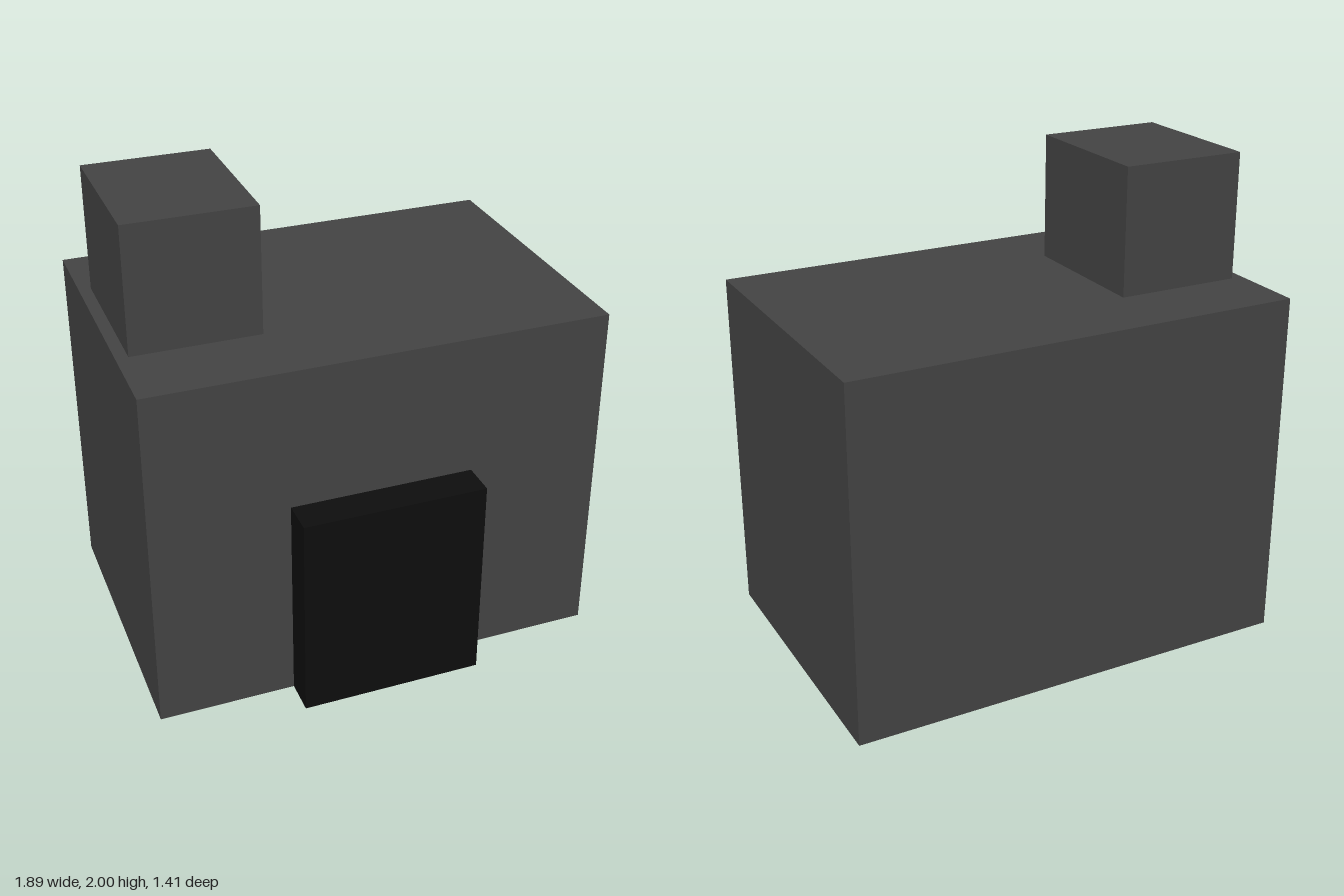
import * as THREE from 'three';

// Box spanning the given bounds, with its underside left open
function openBox(name, material, [x0, x1], [y0, y1], [z0, z1]) {
  const geometry = new THREE.BoxGeometry(x1 - x0, y1 - y0, z1 - z0);
  const index = Array.from(geometry.index.array);
  index.splice(18, 6); // remove the bottom face
  geometry.setIndex(index);
  geometry.clearGroups();
  const mesh = new THREE.Mesh(geometry, material);
  mesh.name = name;
  mesh.position.set((x0 + x1) / 2, (y0 + y1) / 2, (z0 + z1) / 2);
  return mesh;
}

export function createModel() {
  const group = new THREE.Group();
  group.name = 'house';

  const wall = new THREE.MeshStandardMaterial({ color: 0x444444, side: THREE.DoubleSide });
  wall.name = 'dark grey';
  const black = new THREE.MeshStandardMaterial({ color: 0x0e0e0e, side: THREE.DoubleSide });
  black.name = 'near black';

  group.add(
    // Main block, hollow and open underneath
    openBox('body', wall, [-0.945, 0.945], [0, 1.475], [-0.705, 0.56]),
    // Chimney block on the right of the roof
    openBox('chimney', wall, [-0.895, -0.37], [1.475, 2], [-0.39, 0.24]),
    // Doorway passing through the front wall
    openBox('door', black, [-0.38, 0.38], [0, 0.885], [0.5, 0.705])
  );
  return group;
}
